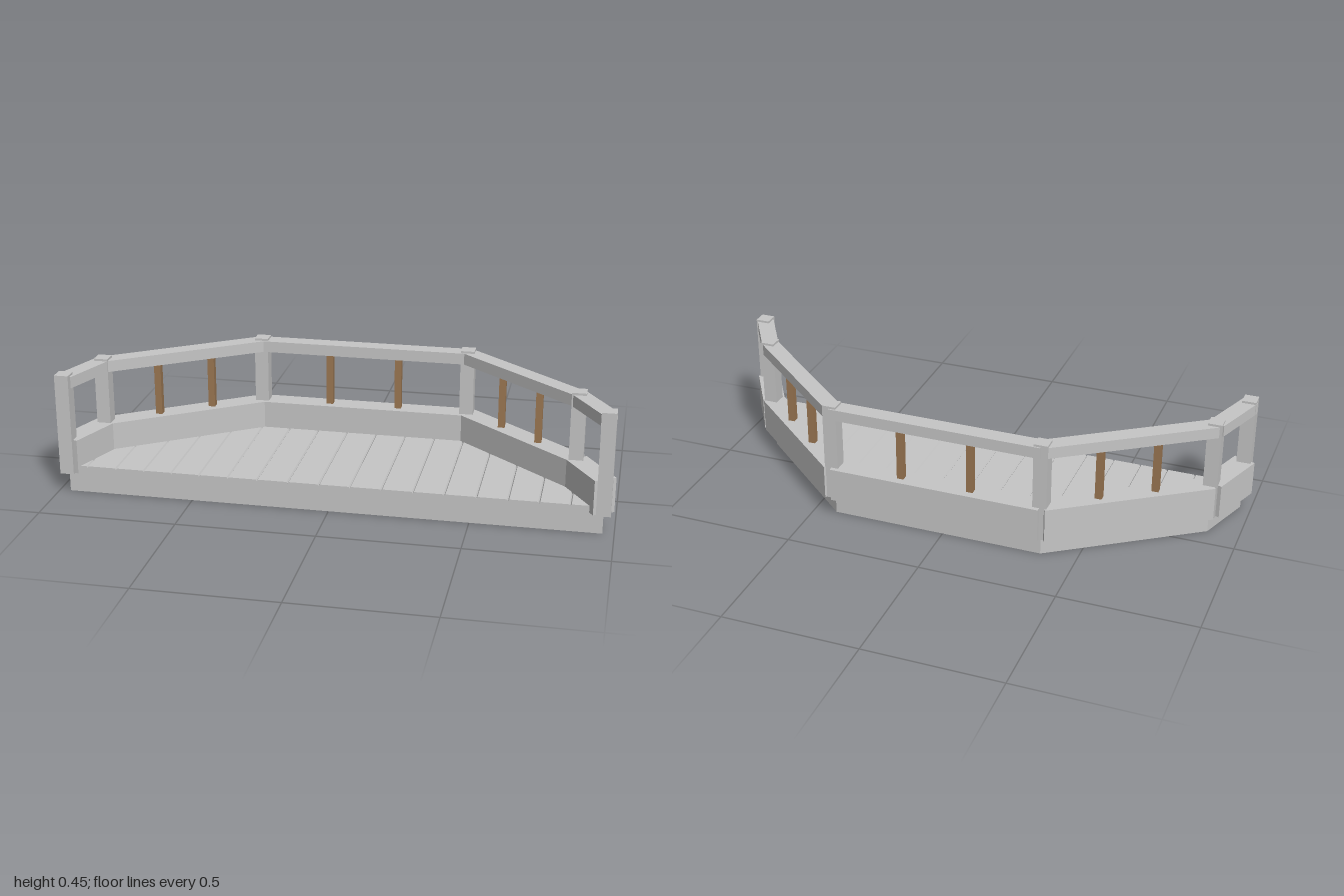
import * as THREE from 'three';

const paint = new THREE.MeshStandardMaterial({ color: 0xc6c6c6, side: THREE.DoubleSide });
paint.name = 'pale grey';
const wood = new THREE.MeshStandardMaterial({ color: 0x9b7752 });
wood.name = 'brown wood';

// Plan corners [x, z], from the -x end round the back to the +x end
const FRONT = 0.287, END = 0.96, TOP = 0.1;
const corners = [[-END, FRONT], [-0.885, 0.081], [-0.369, -0.269], [0.417, -0.269], [0.85, 0.109], [END, FRONT]];

// Floor section [x, y] across the width, with a V-groove between planks
const grooves = [-0.89, -0.783, -0.678, -0.575, -0.472, -0.366, -0.259, -0.147, -0.035,
  0.077, 0.189, 0.301, 0.411, 0.523, 0.633, 0.74, 0.847];
const section = [[-END, TOP]];
for (const x of grooves) section.push([x - 0.004, TOP], [x, TOP - 0.006], [x + 0.004, TOP]);
section.push([END, TOP]);

function add(group, name, geometry, material, x = 0, y = 0, z = 0, turn = 0) {
  const mesh = new THREE.Mesh(geometry, material);
  mesh.name = name;
  mesh.position.set(x, y, z);
  mesh.rotation.y = turn;
  group.add(mesh);
}

// z of the back outline at a given x
function backEdge(x) {
  for (let i = 0; i < corners.length - 1; i++) {
    const [ax, az] = corners[i], [bx, bz] = corners[i + 1];
    if (x <= bx) return az + (bz - az) * (x - ax) / (bx - ax);
  }
  return FRONT;
}

// Floor sheet: the section swept from the back outline to the front edge
function floorSheet() {
  const positions = [];
  for (let i = 0; i < section.length - 1; i++) {
    const [x0, y0] = section[i], [x1, y1] = section[i + 1];
    const b0 = [x0, y0, backEdge(x0)], b1 = [x1, y1, backEdge(x1)];
    const f0 = [x0, y0, FRONT], f1 = [x1, y1, FRONT];
    positions.push(...b0, ...f0, ...f1, ...b0, ...f1, ...b1);
  }
  const g = new THREE.BufferGeometry();
  g.setAttribute('position', new THREE.Float32BufferAttribute(positions, 3));
  g.computeVertexNormals();
  return g;
}

export function createModel() {
  const model = new THREE.Group();
  model.name = 'balcony';

  // Hollow base: planked floor and a front panel, open underneath
  add(model, 'plankFloor', floorSheet(), paint);
  const panel = [[-END, 0], [END, 0], ...section.slice().reverse()];
  const panelShape = new THREE.Shape(panel.map(([x, y]) => new THREE.Vector2(x, y)));
  add(model, 'frontPanel', new THREE.ShapeGeometry(panelShape), paint, 0, 0, FRONT);

  // Square posts at every corner
  for (const [x, z] of corners) {
    add(model, 'post', new THREE.BoxGeometry(0.051, 0.375, 0.051), paint, x, 0.2625, z);
  }

  // Base panel, low wall, handrail and balusters along each side
  for (let i = 0; i < corners.length - 1; i++) {
    const [ax, az] = corners[i], [bx, bz] = corners[i + 1];
    const dx = bx - ax, dz = bz - az;
    const length = Math.hypot(dx, dz), turn = Math.atan2(-dz, dx);
    const mx = (ax + bx) / 2, mz = (az + bz) / 2;
    add(model, 'basePanel', new THREE.PlaneGeometry(length, TOP), paint, mx, TOP / 2, mz, turn + Math.PI);
    add(model, 'lowWall', new THREE.BoxGeometry(length, 0.127, 0.083), paint, mx, 0.1385, mz, turn);
    add(model, 'handrail', new THREE.BoxGeometry(length, 0.042, 0.062), paint, mx, 0.421, mz, turn);
    if (length < 0.3) continue;
    for (const t of [1 / 3, 2 / 3]) {
      add(model, 'baluster', new THREE.BoxGeometry(0.025, 0.204, 0.025), wood, ax + dx * t, 0.301, az + dz * t);
    }
  }
  return model;
}
